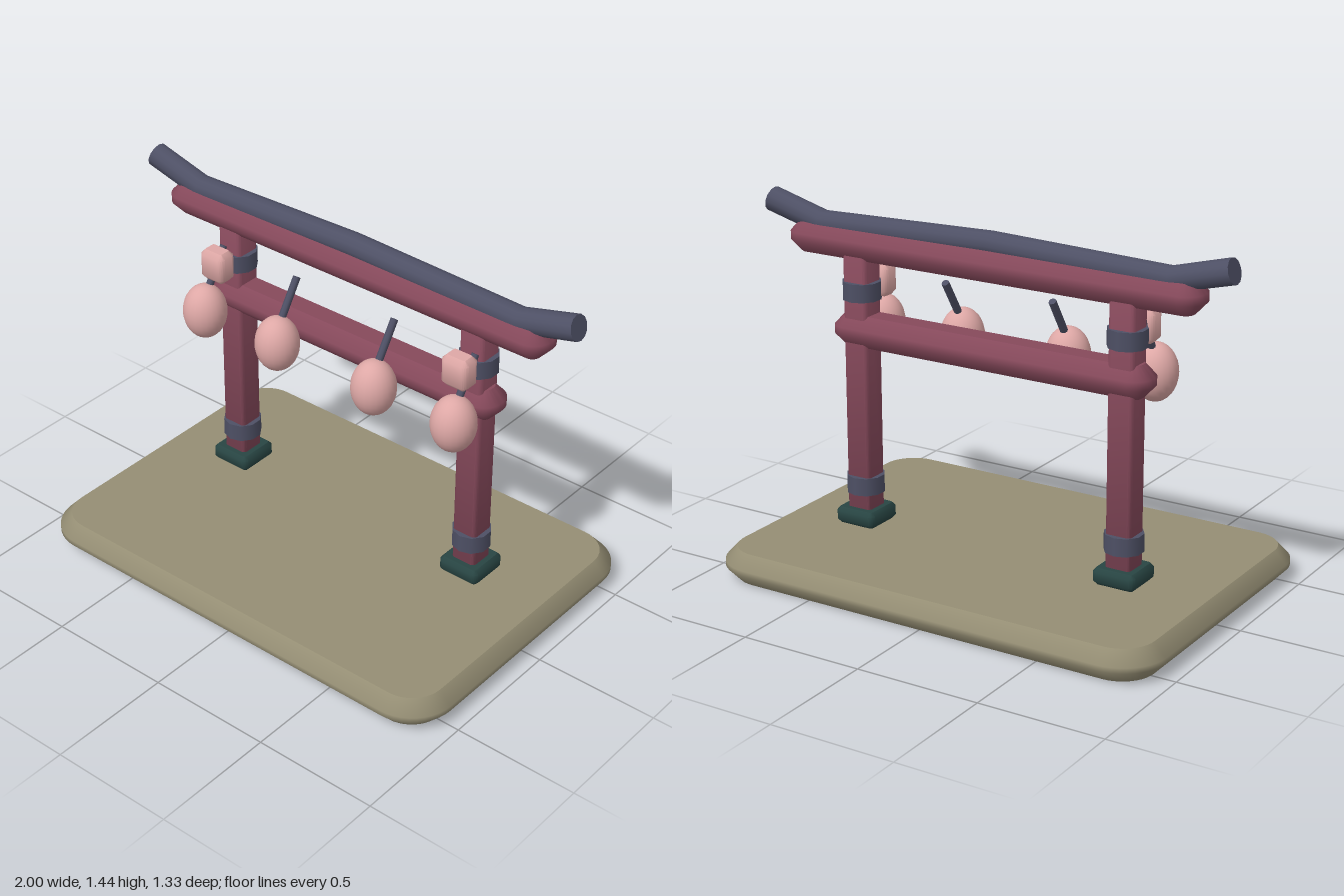
import * as THREE from 'three';
import { toCreasedNormals } from 'three/addons/utils/BufferGeometryUtils.js';

const mat = (name, color) => {
  const m = new THREE.MeshStandardMaterial({ color });
  m.name = name;
  return m;
};

// Block with corners rounded in plan and chamfered top and bottom rims, centred
function slab(w, h, d, radius, bevel) {
  const x = w / 2 - bevel, y = d / 2 - bevel, r = radius - bevel;
  const s = new THREE.Shape();
  s.moveTo(-x + r, -y);
  s.lineTo(x - r, -y);
  s.absarc(x - r, -y + r, r, -Math.PI / 2, 0);
  s.lineTo(x, y - r);
  s.absarc(x - r, y - r, r, 0, Math.PI / 2);
  s.lineTo(-x + r, y);
  s.absarc(-x + r, y - r, r, Math.PI / 2, Math.PI);
  s.lineTo(-x, -y + r);
  s.absarc(-x + r, -y + r, r, Math.PI, Math.PI * 1.5);
  const thickness = bevel * 1.08;
  const g = new THREE.ExtrudeGeometry(s, {
    depth: h - 2 * thickness, bevelEnabled: true, bevelSize: bevel,
    bevelThickness: thickness, bevelSegments: 1, curveSegments: 5,
  });
  g.center();
  g.rotateX(-Math.PI / 2);
  return toCreasedNormals(g, 0.79);
}

// Round bar swept through five stations, its rings mitred at each bend
function bentBar(path, radius) {
  const g = new THREE.CylinderGeometry(radius, radius, 4, 12, 4);
  const p = g.attributes.position;
  for (let i = 0; i < p.count; i++) {
    const k = Math.round(p.getY(i) + 2);
    const a = path[Math.max(k - 1, 0)], b = path[Math.min(k + 1, 4)];
    const angle = Math.atan2(b[1] - a[1], b[0] - a[0]);
    const up = -p.getX(i);
    p.setXYZ(i, path[k][0] - up * Math.sin(angle), path[k][1] + up * Math.cos(angle), p.getZ(i));
  }
  const flat = g.toNonIndexed();
  return toCreasedNormals(flat, 0.7);
}

export function createModel() {
  const group = new THREE.Group();
  group.name = 'gate';
  const stone = mat('stone', 0x958e74);
  const red = mat('redWood', 0x86495b);
  const slate = mat('slate', 0x4e5065);
  const pink = mat('pinkPaper', 0xdea8a6);
  const green = mat('darkGreen', 0x284543);
  const Z = -0.124;

  const add = (name, geometry, material, x, y, z) => {
    const m = new THREE.Mesh(geometry, material);
    m.name = name;
    m.position.set(x, y, z);
    group.add(m);
    return m;
  };

  // Ground slab
  add('base', slab(1.9, 0.125, 1.325, 0.18, 0.048), stone, 0, 0.0625, 0);

  // Cross beams and curved roof bar
  add('upperBeam', slab(1.765, 0.126, 0.165, 0.075, 0.043), red, 0, 1.273, Z);
  add('lowerBeam', slab(1.37, 0.126, 0.165, 0.075, 0.043), red, 0, 0.931, Z);
  const path = [[-0.988, 1.388], [-0.75, 1.325], [0, 1.347], [0.75, 1.325], [0.988, 1.388]];
  add('roofBar', bentBar(path, 0.049), slate, 0, 0, Z);

  // Posts with feet, bands and small boxes
  const post = slab(0.107, 1.06, 0.107, 0.018, 0.01);
  const foot = slab(0.178, 0.066, 0.176, 0.025, 0.014);
  const band = new THREE.CylinderGeometry(0.076, 0.076, 0.071, 10);
  const box = slab(0.115, 0.128, 0.084, 0.025, 0.018);
  for (const side of [-1, 1]) {
    const x = side * 0.577;
    add('post', post, red, x, 0.72, Z);
    add('foot', foot, green, x, 0.178, Z);
    add('lowerBand', band, slate, x, 0.306, Z);
    add('upperBand', band, slate, x, 1.087, Z);
    add('smallBox', box, pink, x, 1.104, -0.006);
  }

  // Hanging lanterns on slanted cords
  const lantern = new THREE.SphereGeometry(0.0865, 24, 16);
  lantern.scale(1, 1.3, 1);
  const cord = new THREE.CylinderGeometry(0.015, 0.015, 0.19, 8);
  for (const x of [-0.6, -0.233, 0.233, 0.6]) {
    add('lantern', lantern, pink, x, 0.914, 0.047);
    add('cord', cord, slate, x, 1.07, -0.018).rotation.x = -0.57;
  }
  return group;
}
